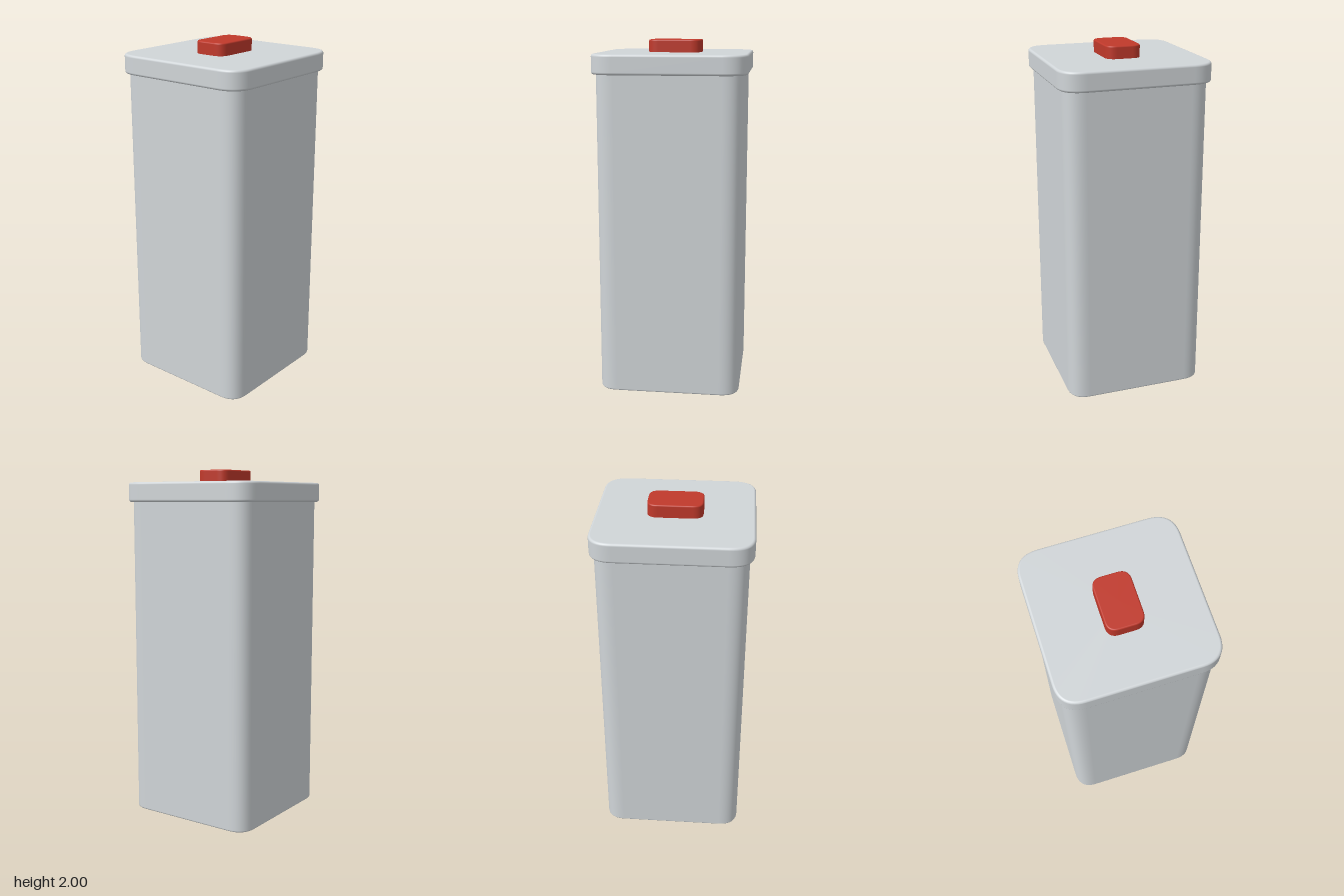
import * as THREE from 'three';

const CORNER_STEPS = 12;
const BEVEL_STEPS = 5;

// Outline of a softly rounded rectangle: [x, z, normalX, normalZ], running from +x towards +z
function outline(halfX, halfZ, radius) {
  const points = [];
  const corners = [[1, 1, false], [-1, 1, true], [-1, -1, false], [1, -1, true]];
  for (const [sx, sz, reversed] of corners) {
    for (let k = 0; k <= CORNER_STEPS; k++) {
      const t = reversed ? 1 - k / CORNER_STEPS : k / CORNER_STEPS;
      const length = Math.hypot(1 - t, t);
      points.push([
        sx * (halfX - radius * t * t),
        sz * (halfZ - radius * (1 - t) * (1 - t)),
        sx * (1 - t) / length,
        sz * t / length,
      ]);
    }
  }
  return points;
}

// Upright block with rounded corners, bevelled rims and flat end caps
function roundedBlock(halfX, halfZ, radius, bottom, top, bevel) {
  const path = outline(halfX - bevel, halfZ - bevel, radius);
  const count = path.length;
  const positions = [], normals = [], index = [];

  // Rings swept around the bottom bevel, up the wall and around the top bevel
  const rings = [];
  for (const [centreY, start] of [[bottom + bevel, -Math.PI / 2], [top - bevel, 0]]) {
    for (let k = 0; k <= BEVEL_STEPS; k++) {
      const angle = start + (k / BEVEL_STEPS) * Math.PI / 2;
      rings.push([centreY + bevel * Math.sin(angle), Math.cos(angle), Math.sin(angle)]);
    }
  }
  rings.forEach(([y, out, up], i) => {
    path.forEach(([x, z, nx, nz], j) => {
      positions.push(x + nx * bevel * out, y, z + nz * bevel * out);
      normals.push(nx * out, up, nz * out);
      if (i === rings.length - 1) return;
      const a = i * count + j, b = i * count + (j + 1) % count;
      index.push(a, a + count, b, b, a + count, b + count);
    });
  });

  // Flat caps
  for (const [y, up] of [[bottom, -1], [top, 1]]) {
    const centre = positions.length / 3;
    positions.push(0, y, 0);
    normals.push(0, up, 0);
    path.forEach(([x, z], j) => {
      positions.push(x, y, z);
      normals.push(0, up, 0);
      const a = centre + 1 + j, b = centre + 1 + (j + 1) % count;
      if (up > 0) index.push(centre, b, a);
      else index.push(centre, a, b);
    });
  }

  const geometry = new THREE.BufferGeometry();
  geometry.setAttribute('position', new THREE.Float32BufferAttribute(positions, 3));
  geometry.setAttribute('normal', new THREE.Float32BufferAttribute(normals, 3));
  geometry.setIndex(index);
  return geometry;
}

export function createModel() {
  const grey = new THREE.MeshStandardMaterial({ color: 0xd0d5d8 });
  grey.name = 'light grey';
  const red = new THREE.MeshStandardMaterial({ color: 0xc0392b });
  red.name = 'red';

  const model = new THREE.Group();
  model.name = 'canister';
  const add = (name, material, ...size) => {
    const mesh = new THREE.Mesh(roundedBlock(...size), material);
    mesh.name = name;
    model.add(mesh);
  };

  // Tall container, overhanging lid and push button
  add('body', grey, 0.405, 0.405, 0.1, 0, 1.84, 0.01);
  add('lid', grey, 0.43, 0.43, 0.12, 1.82, 1.93, 0.014);
  add('button', red, 0.15, 0.1, 0.05, 1.92, 2, 0.008);

  return model;
}
